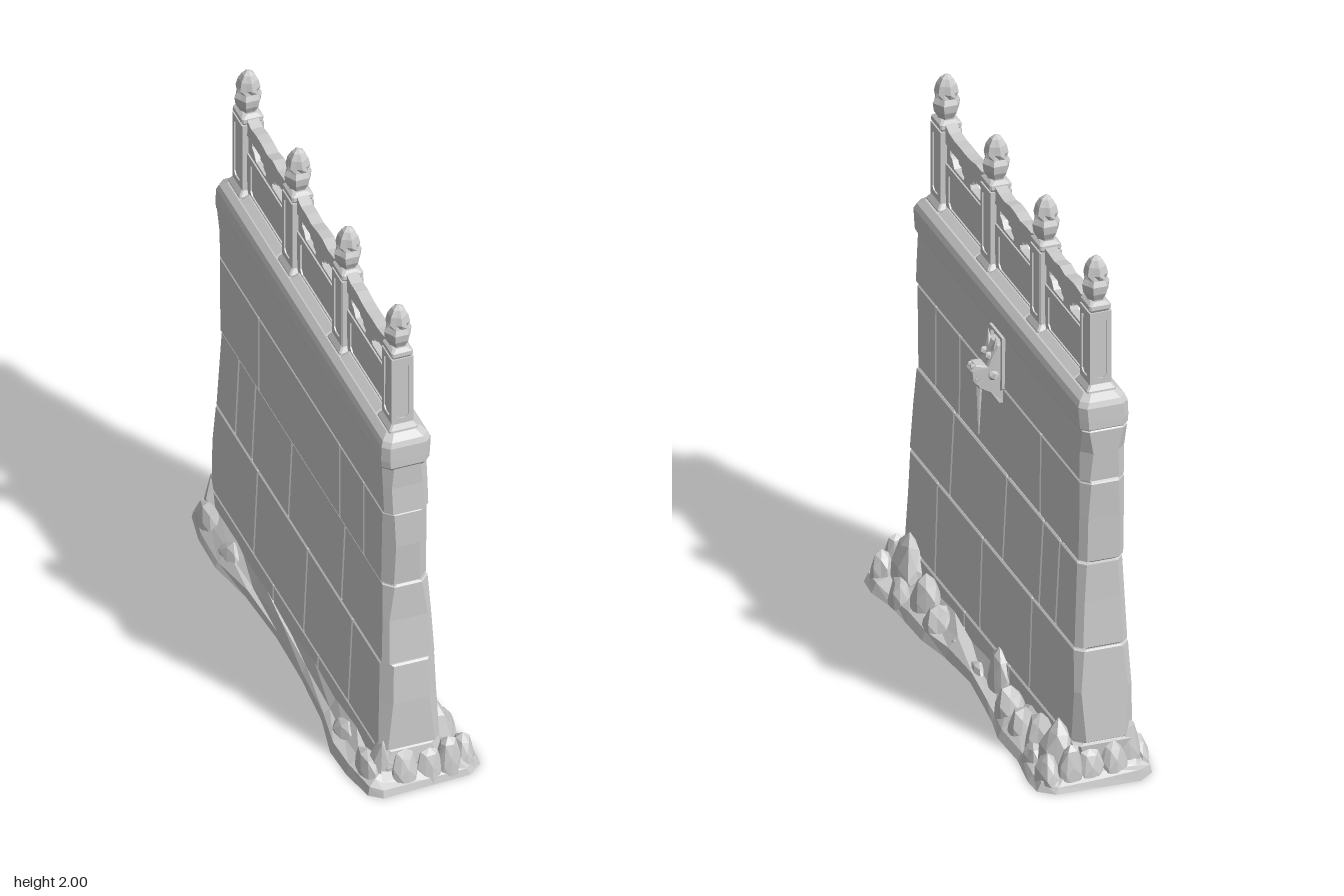
import * as THREE from 'three';

const stone = new THREE.MeshStandardMaterial({ color: 0xcccccc });
stone.name = 'pale stone';

const lerp = THREE.MathUtils.lerp, clamp = THREE.MathUtils.clamp;
const MID = -0.04; // x of the wall's centre line

// repeatable noise in -1..1 from a position
function noise(x, y, z) {
  const s = Math.sin(x * 127.1 + y * 311.7 + z * 74.7) * 43758.5453;
  return (s - Math.floor(s)) * 2 - 1;
}

// faceted skin over closed rings, listed from bottom to top
function loft(rings) {
  const pos = [], n = rings[0].length;
  const tri = (a, b, c) => pos.push(...a, ...b, ...c);
  const mid = r => [0, 1, 2].map(k => r.reduce((s, p) => s + p[k], 0) / n);
  const low = rings[0], top = rings[rings.length - 1];
  for (let j = 0; j < n; j++) {
    const k = (j + 1) % n;
    for (let i = 0; i < rings.length - 1; i++) {
      const r = rings[i], s = rings[i + 1];
      tri(r[j], s[j], s[k]);
      tri(r[j], s[k], r[k]);
    }
    tri(mid(low), low[j], low[k]);
    tri(mid(top), top[k], top[j]);
  }
  const g = new THREE.BufferGeometry();
  g.setAttribute('position', new THREE.Float32BufferAttribute(pos, 3));
  g.computeVertexNormals();
  return g;
}

// rectangle with cut corners; c0 cuts the z0 end, c1 the z1 end
function ring(y, x0, x1, z0, z1, c0, c1 = c0) {
  return [[x1, y, z0 + c0], [x1, y, z1 - c1], [x1 - c1, y, z1], [x0 + c1, y, z1],
    [x0, y, z1 - c1], [x0, y, z0 + c0], [x0 + c0, y, z0], [x1 - c0, y, z0]];
}
const box = (y, hx, hz, c, z = 0) => ring(y, MID - hx, MID + hx, z - hz, z + hz, c);

function add(parent, name, geometry, x = 0, y = 0, z = 0) {
  const m = new THREE.Mesh(geometry, stone);
  m.name = name;
  m.position.set(x, y, z);
  parent.add(m);
  return m;
}

function facet(g) {
  const f = g.index ? g.toNonIndexed() : g;
  f.computeVertexNormals();
  return f;
}

// (z, y) outline extruded across x, centred on x = 0
function slab(outline, holes, depth) {
  const s = new THREE.Shape(outline.map(p => new THREE.Vector2(...p)));
  for (const h of holes) s.holes.push(new THREE.Path(h.map(p => new THREE.Vector2(...p))));
  return new THREE.ExtrudeGeometry(s, { depth, bevelEnabled: false })
    .translate(0, 0, -depth / 2).rotateY(-Math.PI / 2);
}

const cutRect = (w, h, c) => [[-w + c, -h], [w - c, -h], [w, -h + c], [w, h - c],
  [w - c, h], [-w + c, h], [-w, h - c], [-w, -h + c]];

// Courses: y range, [x0, x1, half length] at bottom and top, and joint positions
const COURSES = [
  [0, 0.15, [-0.15, 0.085, 0.84], [-0.147, 0.082, 0.835], [0.23, -0.2]],
  [0.15, 0.51, [-0.147, 0.08, 0.835], [-0.132, 0.07, 0.822], [0.52, 0.09, -0.39]],
  [0.51, 0.84, [-0.13, 0.067, 0.815], [-0.116, 0.051, 0.805], [0.41, -0.1, -0.45, -0.61]],
  [0.84, 1.16, [-0.12, 0.047, 0.8], [-0.12, 0.045, 0.815], [0.6, 0.37, -0.41]],
  [1.16, 1.37, [-0.12, 0.045, 0.817], [-0.124, 0.042, 0.82], []],
];

function buildWall(root) {
  const wall = new THREE.Group();
  wall.name = 'wall';
  root.add(wall);
  const b = 0.006; // groove bevel
  for (const [y0, y1, lo, hi, joints] of COURSES) {
    const core = (y, [x0, x1, l]) => ring(y, x0 + 0.008, x1 - 0.008, -l + 0.01, l - 0.01, 0.025);
    add(wall, 'wallCore', loft([core(y0, lo), core(y1, hi)]));
    const cuts = [null, ...joints, null];
    for (let i = 0; i < cuts.length - 1; i++) {
      const level = (t, inset) => {
        const y = lerp(y0, y1, t), [x0, x1, l] = lo.map((v, k) => lerp(v, hi[k], t));
        const wob = (s) => 0.006 * noise(y, s, 3);
        const z1 = cuts[i] === null ? l + wob(1) : cuts[i] - 0.001;
        const z0 = cuts[i + 1] === null ? -l + wob(2) : cuts[i + 1] + 0.001;
        const c = (end, s) => end === null ? 0.03 + 2 * wob(s) : b;
        return ring(y, x0 + inset, x1 - inset, z0 + inset, z1 - inset, c(cuts[i + 1], 5), c(cuts[i], 6));
      };
      const e = b / (y1 - y0);
      add(wall, 'stoneBlock', loft([level(0, b), level(e, 0), level(0.55, 0), level(1 - e, 0), level(1, b)]));
    }
  }
  // rounded coping on top of the wall
  add(wall, 'coping', loft([
    ring(1.355, -0.12, 0.04, -0.81, 0.81, 0.025), ring(1.372, -0.13, 0.048, -0.822, 0.822, 0.025),
    ring(1.4, -0.132, 0.05, -0.822, 0.822, 0.025), ring(1.455, -0.13, 0.054, -0.82, 0.82, 0.025),
    ring(1.475, -0.122, 0.045, -0.812, 0.812, 0.025), ring(1.495, -0.1, 0.022, -0.785, 0.785, 0.02)]));
}

function buildPost(root, z) {
  const post = new THREE.Group();
  post.name = 'balustradePost';
  root.add(post);
  add(post, 'postShaft', loft([
    box(1.47, 0.056, 0.062, 0.006, z), box(1.5, 0.054, 0.06, 0.006, z), box(1.525, 0.036, 0.044, 0.006, z),
    box(1.8, 0.035, 0.043, 0.006, z), box(1.81, 0.041, 0.049, 0.006, z),
    box(1.825, 0.04, 0.048, 0.006, z), box(1.835, 0.028, 0.032, 0.01, z)]));
  // raised frames on the four faces
  const frame = (w) => slab([[-w, -0.14], [w, -0.14], [w, 0.14], [-w, 0.14]], [cutRect(w - 0.017, 0.118, 0.012)], 0.008);
  for (const s of [-1, 1]) {
    add(post, 'postFrame', frame(0.046), MID + s * 0.037, 1.66, z);
    add(post, 'postFrame', frame(0.04), MID, 1.66, z + s * 0.045).rotation.y = Math.PI / 2;
  }
  // lotus bud finial with alternating petals
  const profile = [[0.028, 1.825], [0.032, 1.84], [0.046, 1.865], [0.05, 1.895], [0.04, 1.915],
    [0.043, 1.935], [0.036, 1.965], [0.022, 1.988], [0.006, 2]];
  add(post, 'finial', loft(profile.map(([r, y], i) => Array.from({ length: 12 }, (_, k) => {
    const a = k / 12 * Math.PI * 2, q = r * ((k + (i > 4 ? 1 : 0)) % 2 ? 0.86 : 1.02);
    return [MID + q * Math.cos(a), y, z + q * Math.sin(a)];
  }))));
}

function buildPanel(root, z) {
  const panel = new THREE.Group();
  panel.name = 'balustradePanel';
  root.add(panel);
  // cloud-shaped openings, one each side of a vase-shaped stem
  const hole = s => [[0.165, 1.74], [0.165, 1.722], [0.145, 1.712], [0.125, 1.685], [0.035, 1.685],
    [0.028, 1.702], [0.05, 1.71], [0.055, 1.727], [0.08, 1.727], [0.085, 1.74]].map(([a, y]) => [s * a, y]);
  add(panel, 'piercedPanel', slab([[-0.205, 1.47], [0.205, 1.47], [0.205, 1.78], [-0.205, 1.78]],
    [hole(1), hole(-1)], 0.03), MID, 0, z);
  // worn handrail
  const worn = Array.from({ length: 9 }, (_, i) => [0.205 - i * 0.05125, 1.812 + 0.007 * noise(i, z, 1) + (i % 8 ? 0 : 0.012)]);
  add(panel, 'handrail', slab([[-0.205, 1.755], [0.205, 1.755], ...worn], [], 0.044), MID, 0, z);
  // frame around the solid lower panel
  const inner = cutRect(0.165, 0.068, 0.015).map(([a, y]) => [a, y + 0.585]);
  add(panel, 'panelFrame', slab([[-0.205, 1.49], [0.205, 1.49], [0.205, 1.675], [-0.205, 1.675]],
    [inner.map(([a, y]) => [a, y + 1])], 0.042), MID, 0, z);
  add(panel, 'panelSill', loft([box(1.47, 0.07, 0.185, 0.01, z), box(1.495, 0.055, 0.18, 0.01, z), box(1.512, 0.026, 0.175, 0.008, z)]));
}

function buildSpout(root) {
  const head = new THREE.Group();
  head.name = 'beastSpout';
  root.add(head);
  // backing plaque with a stepped lower end
  add(head, 'plaque', slab([[-0.062, 1.365], [-0.062, 1.165], [-0.042, 1.15], [-0.036, 1.1], [0.036, 1.1],
    [0.042, 1.15], [0.062, 1.165], [0.062, 1.365]], [cutRect(0.048, 0.085, 0.01).map(([a, y]) => [a, y + 1.27])], 0.026), 0.042);
  // head profile, narrowing to the snout
  const side = [[0.03, 1.335], [0.065, 1.33], [0.085, 1.29], [0.1, 1.25], [0.138, 1.257], [0.156, 1.235],
    [0.152, 1.2], [0.11, 1.205], [0.136, 1.18], [0.128, 1.165], [0.09, 1.145], [0.06, 1.1], [0.03, 1.1]];
  const g = new THREE.ExtrudeGeometry(new THREE.Shape(side.map(p => new THREE.Vector2(...p))),
    { depth: 0.07, bevelSize: 0.004, bevelThickness: 0.012, bevelSegments: 1, bevelOffset: -0.004 }).translate(0, 0, -0.035);
  const p = g.attributes.position;
  for (let i = 0; i < p.count; i++) p.setZ(i, p.getZ(i) * lerp(1, 0.6, clamp((p.getX(i) - 0.05) / 0.09, 0, 1)));
  add(head, 'beastHead', facet(g));
  for (const s of [-1, 1]) {
    const ear = add(head, 'ear', facet(new THREE.ConeGeometry(0.015, 0.06, 5)), 0.068, 1.332, s * 0.03);
    ear.rotation.x = s * 0.25;
    add(head, 'brow', facet(new THREE.IcosahedronGeometry(0.016, 0)), 0.09, 1.285, s * 0.022);
    add(head, 'cheek', facet(new THREE.IcosahedronGeometry(0.022, 0)), 0.078, 1.215, s * 0.036);
    add(head, 'nostril', facet(new THREE.IcosahedronGeometry(0.011, 0)), 0.145, 1.247, s * 0.013);
  }
  // thin hanging drip
  add(head, 'drip', facet(new THREE.CylinderGeometry(0.014, 0.002, 0.22, 6)), 0.118, 1.08, 0);
}

function buildBase(root) {
  const base = new THREE.Group();
  base.name = 'rockyBase';
  root.add(base);
  const outline = [[0.15, 0], [0.165, 0.2], [0.195, 0.35], [0.2, 0.5], [0.205, 0.62], [0.232, 0.74], [0.225, 0.83], [0.17, 0.875],
    [0, 0.885], [-0.16, 0.895], [-0.205, 0.86], [-0.232, 0.72], [-0.238, 0.58], [-0.2, 0.4], [-0.18, 0.15], [-0.175, -0.1],
    [-0.19, -0.35], [-0.228, -0.55], [-0.225, -0.72], [-0.2, -0.85], [-0.14, -0.895], [0, -0.89], [0.17, -0.885],
    [0.225, -0.84], [0.228, -0.76], [0.205, -0.6], [0.21, -0.42], [0.185, -0.3], [0.17, -0.18]];
  // sloping skirt from the outline in to the wall foot
  const skirt = (t, y) => outline.map(([x, z]) => [lerp(x, clamp(x, -0.145, 0.08), t),
    y * (1 + 0.35 * noise(x, y, z)), lerp(z, clamp(z, -0.83, 0.83), t)]);
  add(base, 'skirt', loft([skirt(0, 0), skirt(0.12, 0.03), skirt(0.55, 0.055), skirt(1.05, 0.085)]));
  // boulders: x, z, half width x, height, half width z
  const rocks = [
    [0.1, 0.71, 0.07, 0.23, 0.09], [0.12, 0.5, 0.06, 0.175, 0.09], [0.17, 0.8, 0.045, 0.13, 0.06], [0.13, 0.36, 0.055, 0.12, 0.08],
    [0.17, 0.62, 0.04, 0.11, 0.06], [0.11, 0.2, 0.045, 0.07, 0.08], [0.09, -0.13, 0.04, 0.19, 0.085], [0.12, -0.32, 0.06, 0.14, 0.08],
    [0.13, -0.47, 0.06, 0.125, 0.07], [0.12, -0.6, 0.06, 0.17, 0.06], [0.11, -0.75, 0.07, 0.225, 0.085], [0.17, -0.8, 0.045, 0.12, 0.07],
    [0.17, -0.66, 0.035, 0.09, 0.06], [0.11, 0.02, 0.035, 0.06, 0.08]];
  for (const s of [-1, 1]) rocks.push([-0.12, s * 0.8, 0.06, 0.22, 0.05], [-0.06, s * 0.84, 0.055, 0.15, 0.04],
    [0.03, s * 0.84, 0.055, 0.13, 0.04], [0.1, s * 0.84, 0.05, 0.16, 0.04], [-0.17, s * 0.76, 0.045, 0.12, 0.09],
    [-0.16, s * 0.55, 0.05, 0.09, 0.1]);
  for (const [x, z, rx, h, rz] of rocks) {
    const g = new THREE.IcosahedronGeometry(1, 1), p = g.attributes.position, v = new THREE.Vector3();
    for (let i = 0; i < p.count; i++) {
      v.fromBufferAttribute(p, i);
      const q = [v.x, v.y, v.z].map(c => Math.round(c * 100) / 100 + 0); // shared corners move together
      const k = 1 + 0.1 * noise(q[0] + x, q[1], q[2] + z);
      p.setXYZ(i, v.x * k * rx, Math.max(0, v.y * (v.y > 0.95 ? 1 : k)) * h, v.z * k * rz);
    }
    add(base, 'boulder', facet(g), x, 0.002, z);
  }
}

export function createModel() {
  const root = new THREE.Group();
  root.name = 'stoneWall';
  buildWall(root);
  for (const z of [-0.72, -0.24, 0.24, 0.72]) buildPost(root, z);
  for (const z of [-0.48, 0, 0.48]) buildPanel(root, z);
  buildSpout(root);
  buildBase(root);
  return root;
}
